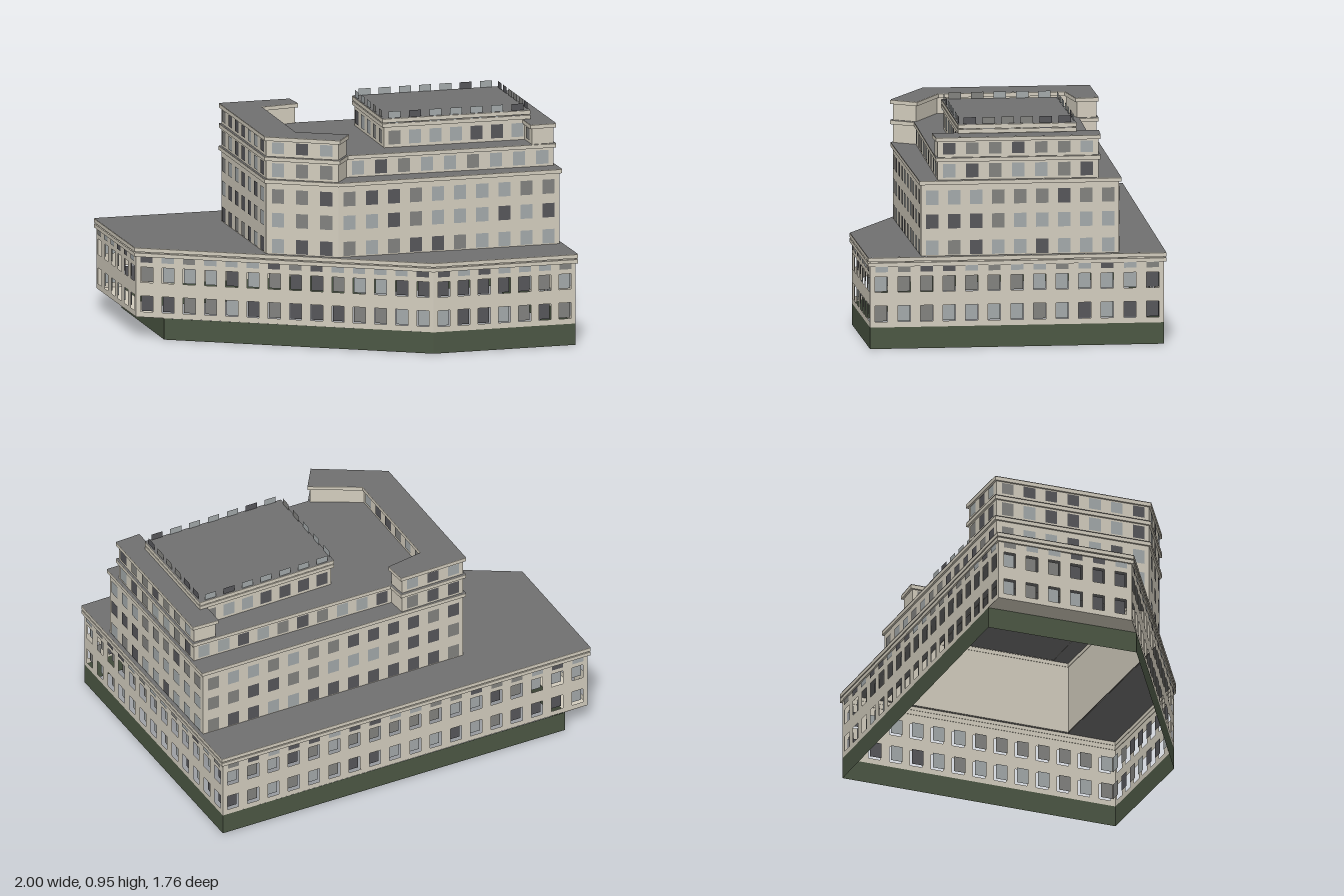
import * as THREE from 'three';
import { mergeGeometries } from 'three/addons/utils/BufferGeometryUtils.js';

const mat = (name, color) => new THREE.MeshStandardMaterial({ name, color, side: THREE.DoubleSide });

// Footprints as [x, z], running left to right along the front
const BASE = [[-0.93, 0.44], [-0.39, 0.82], [0.65, 0.33], [0.99, -0.18], [-0.02, -0.87]];
const PODIUM = [[-0.99, 0.53], [-0.5, 0.87], [0.65, 0.33], [0.99, -0.18], [-0.02, -0.87]];
const TOWER = [[-0.56, 0.24], [0, 0.63], [0.28, 0.5], [0.81, -0.295], [0.13, -0.76]];
const SETBACK = [[-0.56, 0.24], [0, 0.63], [0.28, 0.5], [0.24, 0.4], [0.75, -0.33], [0.2, -0.71], [-0.33, 0.04], [-0.4, 0]];
const FRONT_BLOCK = [[-0.56, 0.24], [0, 0.63], [0.28, 0.5], [0.24, 0.4], [0.04, 0.5], [-0.4, 0.19], [-0.33, 0.04], [-0.4, 0]];
const BACK_BLOCK = [[0.14, -0.63], [0.7, -0.25], [0.75, -0.33], [0.2, -0.71]];
const PENTHOUSE = [[-0.11, -0.08], [0.27, 0.19], [0.62, -0.32], [0.23, -0.59]];

// Move every edge of a footprint outward by d, with mitred corners
function offset(poly, d) {
  const n = poly.length;
  const normal = (a, b) => {
    const l = Math.hypot(b[0] - a[0], b[1] - a[1]);
    return [-(b[1] - a[1]) / l, (b[0] - a[0]) / l];
  };
  return poly.map((p, i) => {
    const m = normal(poly[(i + n - 1) % n], p), k = normal(p, poly[(i + 1) % n]);
    const s = d / (1 + m[0] * k[0] + m[1] * k[1]);
    return [p[0] + (m[0] + k[0]) * s, p[1] + (m[1] + k[1]) * s];
  });
}

const toPoints = (poly) => poly.map(([x, z]) => new THREE.Vector2(x, -z));

function flatShape(poly, holes = []) {
  const s = new THREE.Shape(toPoints(poly));
  holes.forEach((h) => s.holes.push(new THREE.Path(toPoints(h))));
  return s;
}

export function createModel() {
  const model = new THREE.Group();
  model.name = 'steppedBuilding';
  const stone = mat('stone', 0xd3cdbe);
  const green = mat('darkGreenPlinth', 0x4c5744);
  const roofGrey = mat('roofGrey', 0x707070);
  const glass = [mat('paleGlass', 0xa3a9aa), mat('darkGlass', 0x56565a), mat('greyGlass', 0x82827f)];

  let seed = 7;
  const rand = () => (seed = (seed * 16807) % 2147483647) / 2147483647;
  const pickGlass = () => { const r = rand(); return r < 0.42 ? 0 : r < 0.74 ? 1 : 2; };

  function add(parent, name, geometry, material) {
    const m = new THREE.Mesh(geometry, material);
    m.name = name;
    parent.add(m);
  }

  // One storey block: walls, windows, cornices and a roof with openings for what stands on it
  function tier(name, poly, y0, y1, o = {}) {
    const { rows = [], cut = false, bands = [y1], roofHoles = [], wall = stone, spacing = 0.094, minLength = 0.2, roof = true } = o;
    const g = new THREE.Group();
    g.name = name;
    const walls = [], panes = [[], [], []];
    poly.forEach((a, i) => {
      const b = poly[(i + 1) % poly.length];
      const dx = b[0] - a[0], dz = b[1] - a[1], len = Math.hypot(dx, dz);
      const place = new THREE.Matrix4().makeRotationY(Math.atan2(-dz, dx)).setPosition(a[0], 0, a[1]);
      const face = new THREE.Shape([[0, y0], [len, y0], [len, y1], [0, y1]].map((p) => new THREE.Vector2(...p)));
      const count = len < minLength ? 0 : Math.round(len / spacing);
      for (const [r0, r1, open] of rows) {
        for (let k = 0; k < count; k++) {
          const u = ((k + 0.5) * len) / count, w = 0.026;
          const isHole = cut && open;
          if (isHole) {
            face.holes.push(new THREE.Path([[u - w, r0], [u - w, r1], [u + w, r1], [u + w, r0]].map((p) => new THREE.Vector2(...p))));
          }
          // glass sits behind an opening, or just proud of a plain wall
          panes[pickGlass()].push(new THREE.PlaneGeometry(2 * w, r1 - r0)
            .translate(u, (r0 + r1) / 2, isHole ? -0.018 : 0.003).applyMatrix4(place));
        }
      }
      walls.push(new THREE.ShapeGeometry(face).applyMatrix4(place));
    });
    add(g, name + 'Walls', mergeGeometries(walls), wall);
    panes.forEach((list, i) => list.length && add(g, name + 'Windows' + (i + 1), mergeGeometries(list), glass[i]));

    // Cornice rings
    for (const top of bands) {
      const h = 0.016;
      const ring = flatShape(offset(poly, 0.009), [offset(poly, -0.002)]);
      const geo = new THREE.ExtrudeGeometry(ring, { depth: h, bevelEnabled: false });
      add(g, name + 'Cornice', geo.rotateX(-Math.PI / 2).translate(0, top - h, 0), stone);
    }
    if (roof) {
      const geo = new THREE.ShapeGeometry(flatShape(offset(poly, 0.009), roofHoles));
      add(g, name + 'Roof', geo.rotateX(-Math.PI / 2).translate(0, y1 + 0.002, 0), roofGrey);
    }
    model.add(g);
  }

  tier('plinth', BASE, 0, 0.09, { wall: green, bands: [], roof: false });
  tier('podium', PODIUM, 0.09, 0.383, {
    rows: [[0.113, 0.18, true], [0.237, 0.302, true], [0.322, 0.362, false]],
    cut: true, bands: [0.383, 0.362], roofHoles: [offset(TOWER, -0.004)],
  });
  tier('tower', TOWER, 0.383, 0.7, { rows: [[0.39, 0.45], [0.5, 0.56], [0.6, 0.66]] });
  tier('setbackStorey', SETBACK, 0.7, 0.795, { rows: [[0.712, 0.77]] });
  tier('frontBlock', FRONT_BLOCK, 0.795, 0.88, { rows: [[0.81, 0.858]], minLength: 0.27 });
  tier('backBlock', BACK_BLOCK, 0.795, 0.88, { rows: [[0.81, 0.858]] });
  tier('penthouse', PENTHOUSE, 0.795, 0.92, {
    rows: [[0.81, 0.868], [0.9, 0.95]], bands: [0.92, 0.9], spacing: 0.085,
  });

  // Soffit under the overhanging end of the podium
  const soffit = flatShape([PODIUM[0], PODIUM[1], BASE[1], BASE[0]]);
  add(model, 'podiumSoffit', new THREE.ShapeGeometry(soffit).rotateX(-Math.PI / 2).translate(0, 0.09, 0), stone);

  return model;
}
